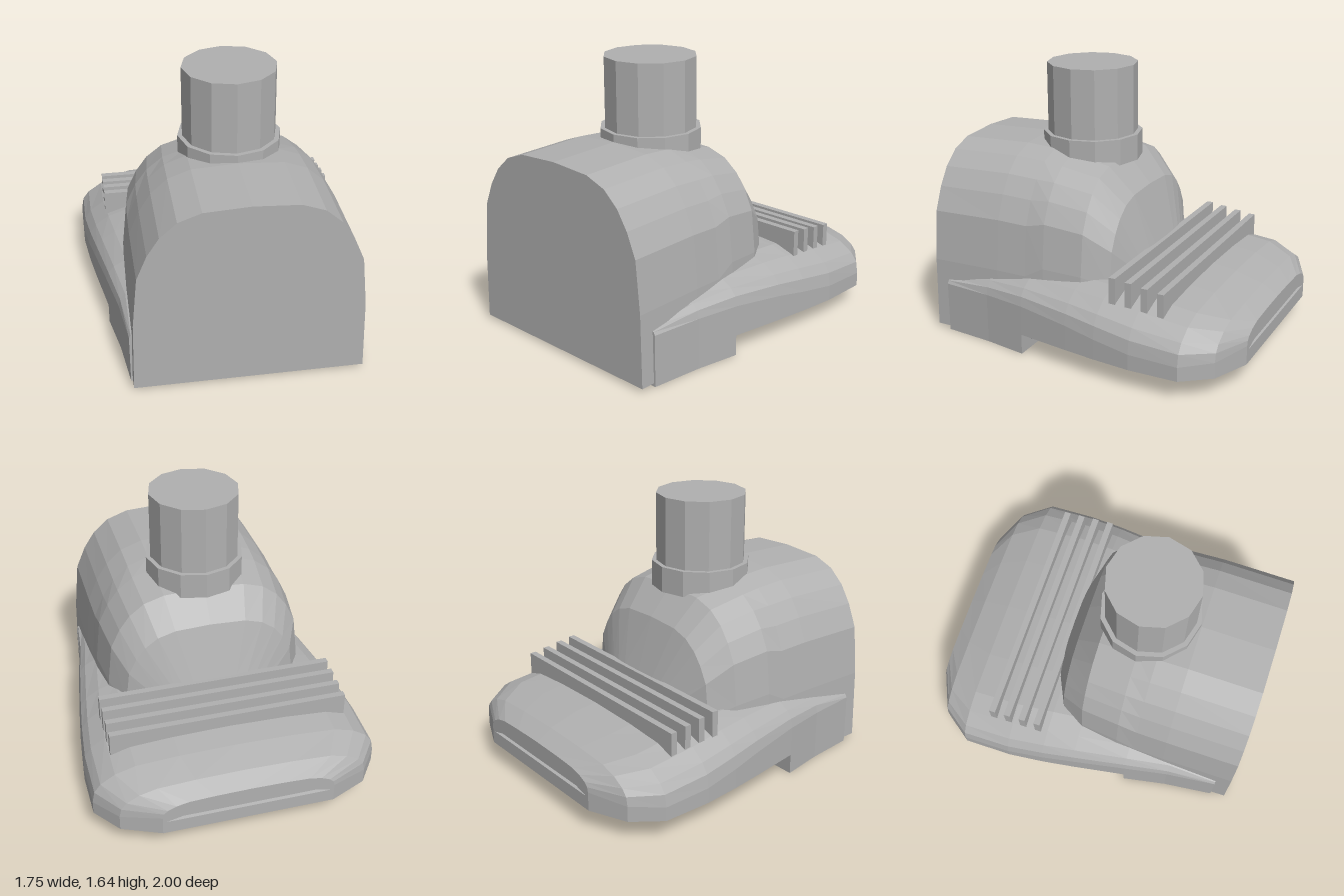
import * as THREE from 'three';

// Symmetric arch, counter-clockwise from the right foot; profile = [width share, y] from bottom to apex
function arch(profile, w, z) {
  const right = profile.map(([u, y]) => [u * w, y, z]);
  const left = right.slice(0, -1).reverse().map(([x, y]) => [-x, y, z]);
  return [...right, ...left];
}

// Skin a list of rings, optionally closing the first and last
function loft(rings, capFirst, capLast) {
  const pos = [];
  const tri = (a, b, c) => pos.push(...a, ...b, ...c);
  const n = rings[0].length;
  for (let i = 0; i < rings.length - 1; i++) {
    for (let j = 0; j < n; j++) {
      const k = (j + 1) % n;
      const a = rings[i][j], b = rings[i][k], c = rings[i + 1][k], d = rings[i + 1][j];
      tri(a, b, c);
      tri(a, c, d);
    }
  }
  const fan = (ring, flip) => {
    const mid = [0, (ring[0][1] + ring[(n - 1) / 2][1]) / 2, ring[0][2]];
    ring.forEach((p, j) => {
      const q = ring[(j + 1) % n];
      flip ? tri(mid, q, p) : tri(mid, p, q);
    });
  };
  if (capFirst) fan(rings[0], true);
  if (capLast) fan(rings[rings.length - 1], false);
  const g = new THREE.BufferGeometry();
  g.setAttribute('position', new THREE.Float32BufferAttribute(pos, 3));
  g.computeVertexNormals();
  return g;
}

export function createModel() {
  const group = new THREE.Group();
  const grey = new THREE.MeshStandardMaterial({ color: 0xb0b0b0, flatShading: true });
  grey.name = 'grey';
  const add = (name, geo, x = 0, y = 0, z = 0) => {
    const m = new THREE.Mesh(geo, grey);
    m.name = name;
    m.position.set(x, y, z);
    group.add(m);
    return m;
  };

  // Domed housing: z, half width, bottom, height
  const domeShape = [[1, 0], [0.985, 0.38], [0.94, 0.65], [0.85, 0.775], [0.745, 0.87], [0.6, 0.945], [0.4, 0.987], [0, 1]];
  const domeRings = [
    [-0.255, 0.34, 0.2, 0.59], [-0.15, 0.55, 0.14, 0.92], [0, 0.63, 0.14, 1.09], [0.24, 0.66, 0.14, 1.14],
    [0.36, 0.665, 0.02, 1.163], [0.55, 0.67, 0.02, 1.175], [1, 0.67, 0.02, 1.16],
  ].map(([z, w, b, h]) => arch(domeShape.map(([u, f]) => [u, b + (h - b) * f]), w, z));
  add('housing', loft(domeRings, true, true));

  // Flared foot with stepped underside: z, half width, bottom, shoulder, top
  const footShape = [[1, 0], [0.985, 0.3], [0.94, 0.52], [0.84, 0.75], [0.7, 0.9], [0.4, 0.97], [0, 1]];
  const footRings = [
    [-1, 0.52, 0.125, 0.24, 0.34], [-0.9, 0.75, 0.125, 0.22, 0.4], [-0.73, 0.875, 0.125, 0.21, 0.45],
    [-0.43, 0.875, 0.125, 0.22, 0.49], [-0.2, 0.85, 0.125, 0.25, 0.51], [0, 0.82, 0.125, 0.28, 0.51],
    [0.33, 0.765, 0.125, 0.31, 0.5], [0.33, 0.765, 0, 0.31, 0.5], [0.6, 0.715, 0, 0.31, 0.465], [0.91, 0.68, 0, 0.31, 0.37],
  ].map(([z, w, b, s, t]) => arch([[1, b], ...footShape.map(([u, f]) => [u, s + (t - s) * f])], w, z));
  add('foot', loft(footRings, false, true));

  // Rear face of the foot with a slot, and the shallow groove behind it
  const slot = [[-0.5, 0.208], [-0.4, 0.232], [0.4, 0.232], [0.5, 0.208]];
  const rear = new THREE.Shape(footRings[0].map(([x, y]) => new THREE.Vector2(x, y)));
  rear.holes.push(new THREE.Path(slot.map(([x, y]) => new THREE.Vector2(x, y))));
  add('rearFace', new THREE.ShapeGeometry(rear), 0, 0, -1).rotation.y = Math.PI;
  add('rearSlot', loft([
    slot.map(([x, y]) => [x, y, -1]),
    slot.map(([x]) => [x * 0.95, 0.216, -0.97]),
  ], false, false));

  // Cross fins, lower towards the rear
  [[-0.26, 0.42, 0.59], [-0.36, 0.41, 0.578], [-0.46, 0.403, 0.563], [-0.56, 0.395, 0.55]].forEach(([z, lo, hi], i) => {
    add('fin' + (i + 1), new THREE.BoxGeometry(1.46, hi - lo, 0.04), 0, (lo + hi) / 2, z);
  });

  // Upright pipe and its collar
  add('collar', new THREE.CylinderGeometry(0.305, 0.305, 0.16, 12), 0, 1.14, 0.24);
  add('pipe', new THREE.CylinderGeometry(0.277, 0.277, 0.585, 12), 0, 1.3525, 0.24);

  return group;
}
